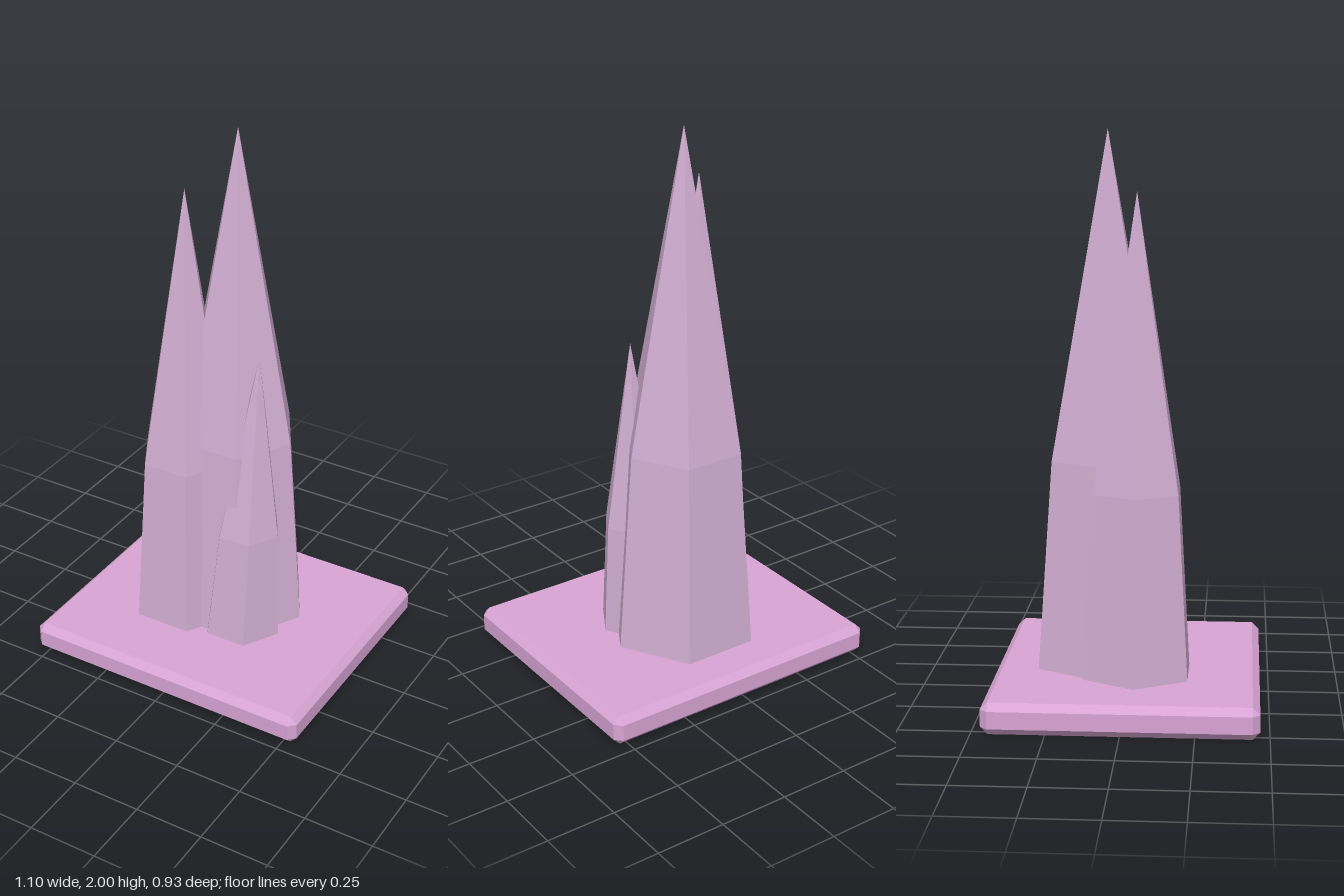
import * as THREE from 'three';
import { ConvexGeometry } from 'three/addons/geometries/ConvexGeometry.js';

const BASE_TOP = 0.11;

// Six-sided shard: tapered shaft, then a long point; lean shifts the tip sideways.
function shardGeometry({ radius, shoulderRadius, shoulder, height, lean }) {
  const profile = [[0, 0], [radius, 0], [shoulderRadius, shoulder], [0, height]]
    .map(([r, y]) => new THREE.Vector2(r, y));
  const lathe = new THREE.LatheGeometry(profile, 6).rotateY(Math.PI / 6);
  const pos = lathe.attributes.position;
  for (let i = 0; i < pos.count; i++) {
    const t = pos.getY(i) / height;
    pos.setX(i, pos.getX(i) + lean[0] * t);
    pos.setZ(i, pos.getZ(i) + lean[1] * t);
  }
  const flat = lathe.toNonIndexed();
  flat.computeVertexNormals();
  return flat;
}

// Box with every edge and corner cut off at the same bevel.
function chamferedBox(w, h, d, bevel) {
  const points = [];
  for (const sx of [-1, 1]) for (const sy of [-1, 1]) for (const sz of [-1, 1]) {
    for (const keep of [0, 1, 2]) {
      const half = [w / 2, h / 2, d / 2].map((v, axis) => (axis === keep ? v : v - bevel));
      points.push(new THREE.Vector3(sx * half[0], sy * half[1], sz * half[2]));
    }
  }
  return new ConvexGeometry(points);
}

export function createModel() {
  const group = new THREE.Group();
  group.name = 'crystalCluster';

  const slabPink = new THREE.MeshStandardMaterial({ color: 0xd8a4d4 });
  slabPink.name = 'slabPink';
  const crystalMauve = new THREE.MeshStandardMaterial({ color: 0xd2aed2 });
  crystalMauve.name = 'crystalMauve';

  // Bevelled slab
  const slab = new THREE.Mesh(chamferedBox(1.096, BASE_TOP, 0.934, 0.025), slabPink);
  slab.name = 'baseSlab';
  slab.position.y = BASE_TOP / 2;
  group.add(slab);

  // Three overlapping crystals
  const shards = [
    { name: 'tallCrystal', x: 0, z: -0.075, radius: 0.275, shoulderRadius: 0.22, shoulder: 0.74, height: 1.89, lean: [0, 0] },
    { name: 'middleCrystal', x: -0.147, z: 0.035, radius: 0.21, shoulderRadius: 0.17, shoulder: 0.65, height: 1.68, lean: [0.005, 0] },
    { name: 'smallCrystal', x: 0.105, z: 0.055, radius: 0.15, shoulderRadius: 0.12, shoulder: 0.42, height: 1.12, lean: [0.045, -0.025] },
  ];
  for (const shard of shards) {
    const mesh = new THREE.Mesh(shardGeometry(shard), crystalMauve);
    mesh.name = shard.name;
    mesh.position.set(shard.x, BASE_TOP, shard.z);
    group.add(mesh);
  }

  return group;
}
